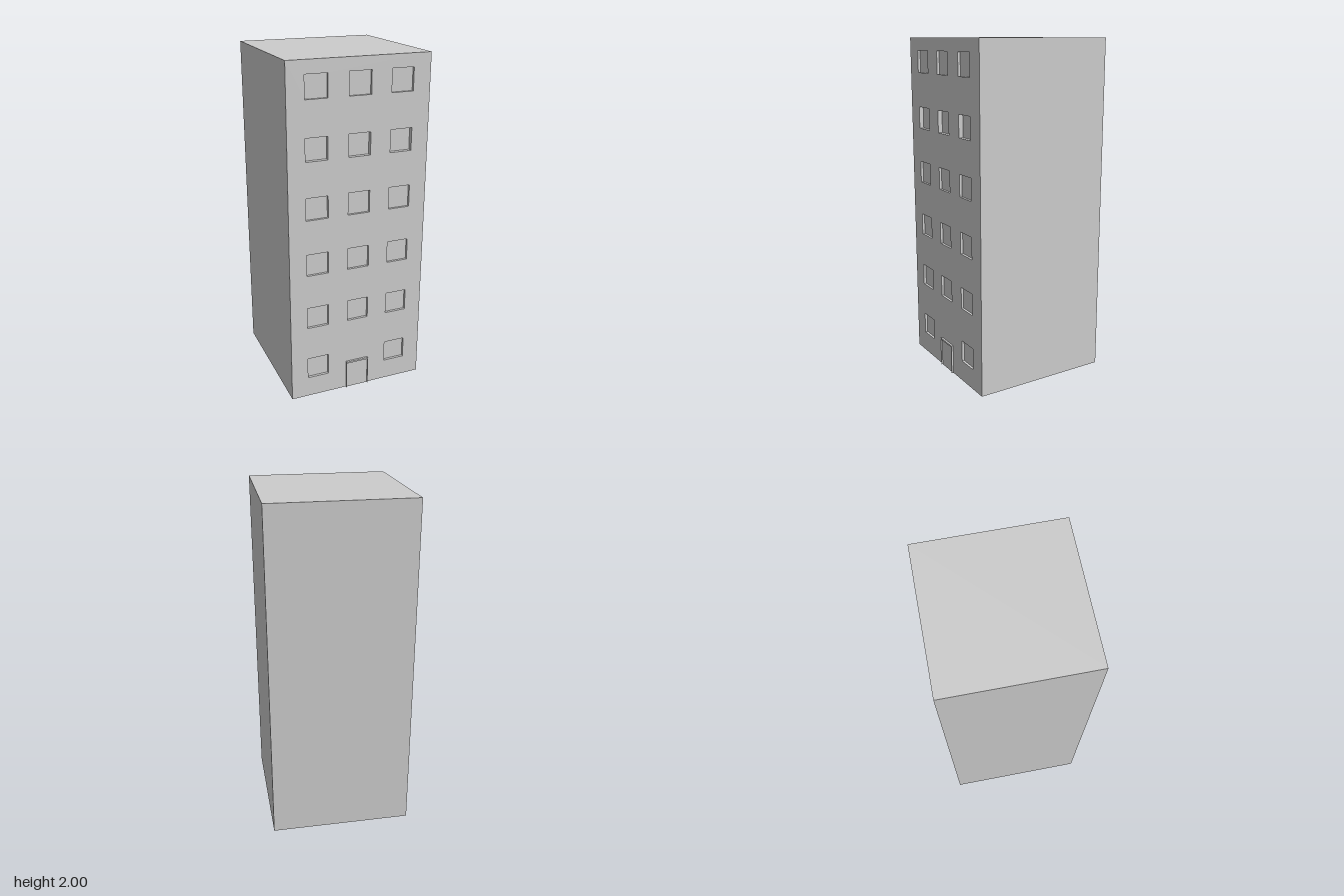
import * as THREE from 'three';

const W = 0.834, H = 2, BACK = -0.42, FRONT = 0.408, WIN = 0.13;
const material = new THREE.MeshStandardMaterial({ color: 0xcccccc, flatShading: true, side: THREE.DoubleSide });

// Thin-walled box without the listed sides (order: +x -x +y -y +z -z)
function openBox(w, h, d, skip) {
  const g = new THREE.BoxGeometry(w, h, d);
  const index = Array.from(g.index.array);
  g.setIndex(index.filter((_, i) => !skip.includes(Math.floor(i / 6))));
  g.clearGroups();
  return g;
}

function rectPath(PathType, x0, y0, x1, y1) {
  const p = new PathType();
  p.moveTo(x0, y0);
  p.lineTo(x1, y0);
  p.lineTo(x1, y1);
  p.lineTo(x0, y1);
  p.closePath();
  return p;
}

export function createModel() {
  const group = new THREE.Group();
  const add = (name, geometry, x, y, z) => {
    const mesh = new THREE.Mesh(geometry, material);
    mesh.name = name;
    mesh.position.set(x, y, z);
    group.add(mesh);
  };

  // Side walls, back wall and roof; the underside is open
  add('wallsAndRoof', openBox(W, H, FRONT - BACK, [3, 4]), 0, H / 2, (FRONT + BACK) / 2);

  // Front wall outline, notched at the bottom for the doorway
  const doorW = 0.068, doorH = 0.17;
  const wall = new THREE.Shape([
    [-W / 2, 0], [-doorW, 0], [-doorW, doorH], [doorW, doorH],
    [doorW, 0], [W / 2, 0], [W / 2, H], [-W / 2, H],
  ].map(([x, y]) => new THREE.Vector2(x, y)));

  // Recessed windows: six floors of three, the door taking one place
  for (let floor = 0; floor < 6; floor++) {
    const depth = floor === 4 ? 0.026 : 0.015;
    const y = 0.19 + floor * 0.334;
    for (const x of [-0.25, 0, 0.25]) {
      if (floor === 0 && x === 0) continue;
      wall.holes.push(rectPath(THREE.Path, x - WIN / 2, y - WIN / 2, x + WIN / 2, y + WIN / 2));
      add('window', openBox(WIN, WIN, depth, [4]), x, y, FRONT - depth / 2);
    }
  }
  add('frontWall', new THREE.ShapeGeometry(wall), 0, 0, FRONT);

  // Door panel and its slim projecting frame
  add('door', new THREE.PlaneGeometry(doorW * 2, doorH), 0, doorH / 2, FRONT + 0.003);
  const outer = 0.071, top = 0.18;
  const frame = new THREE.Shape([
    [-outer, 0], [-doorW, 0], [-doorW, doorH], [doorW, doorH],
    [doorW, 0], [outer, 0], [outer, top], [-outer, top],
  ].map(([x, y]) => new THREE.Vector2(x, y)));
  add('doorFrame', new THREE.ExtrudeGeometry(frame, { depth: 0.012, bevelEnabled: false }), 0, 0, FRONT);

  return group;
}
